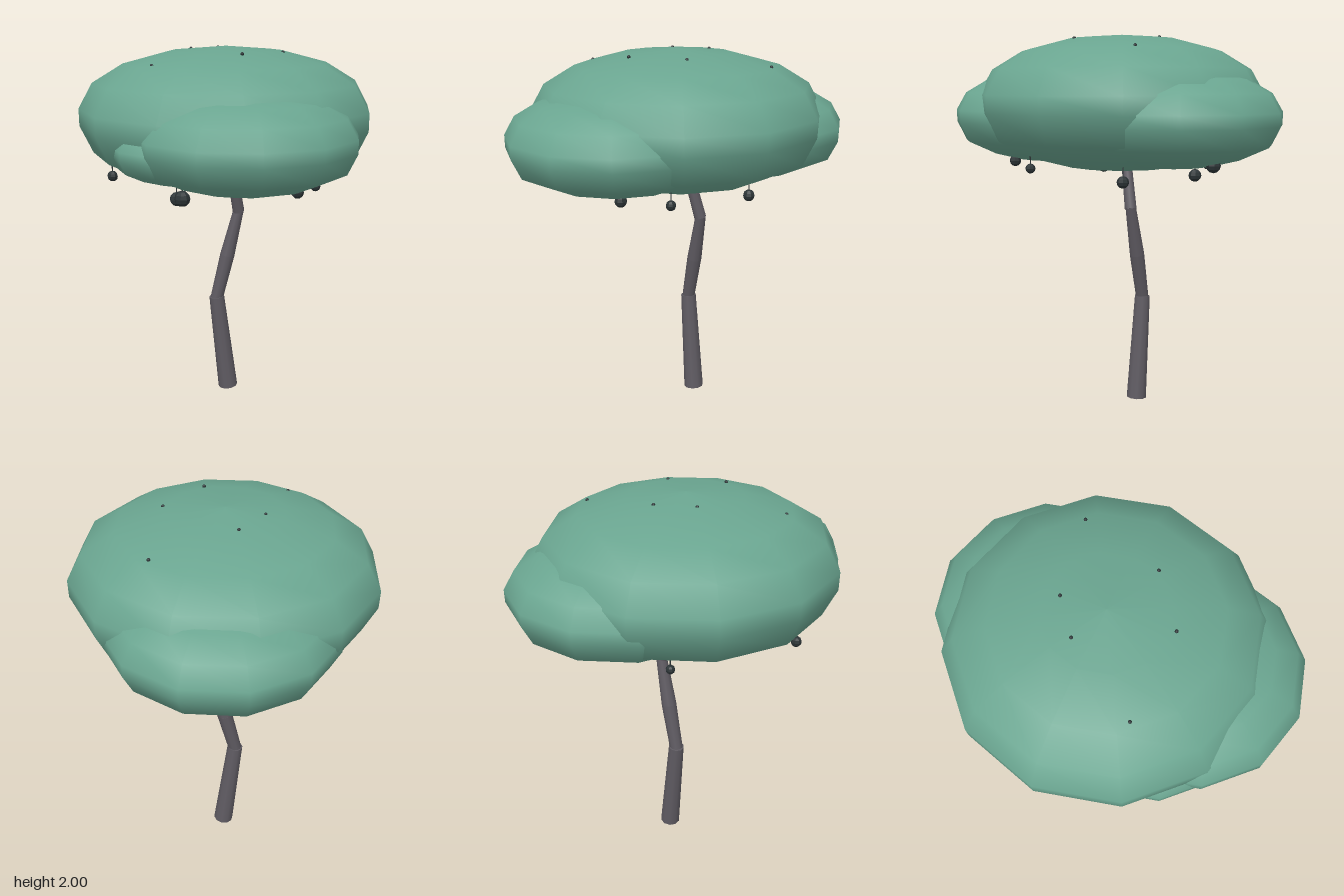
import * as THREE from 'three';

const leafMat = new THREE.MeshStandardMaterial({ color: 0x6aa590 });
const barkMat = new THREE.MeshStandardMaterial({ color: 0x5f5b62 });
const fruitMat = new THREE.MeshStandardMaterial({ color: 0x2c3436, flatShading: true });

// Cap-shaped canopy profile, bottom to top: [radius, height], with a dimple underneath
const CAP = [
  [0, 0.09], [0.09, 0.07], [0.17, 0], [0.3, 0.012], [0.5, 0.065], [0.7, 0.16], [0.765, 0.3],
  [0.765, 0.39], [0.69, 0.52], [0.53, 0.615], [0.29, 0.677], [0, 0.7],
].map(([r, y]) => new THREE.Vector2(r, y));

function add(group, name, geometry, material) {
  const mesh = new THREE.Mesh(geometry, material);
  mesh.name = name;
  group.add(mesh);
  return mesh;
}

// Tapered cylinder between two points
function limb(group, name, a, b, rA, rB, sides, material) {
  const from = new THREE.Vector3(...a), to = new THREE.Vector3(...b);
  const dir = to.clone().sub(from);
  const mesh = add(group, name, new THREE.CylinderGeometry(rB, rA, dir.length(), sides), material);
  mesh.position.copy(from).addScaledVector(dir, 0.5);
  mesh.quaternion.setFromUnitVectors(new THREE.Vector3(0, 1, 0), dir.normalize());
  return mesh;
}

export function createModel() {
  const tree = new THREE.Group();
  tree.name = 'tree';

  // Canopy: a large cap with three smaller ones poking out of its sides
  const canopy = new THREE.Group();
  canopy.name = 'canopy';
  tree.add(canopy);
  const caps = [
    ['mainCanopy', -0.052, 1.3, 0, 1, 1],
    ['leftCanopy', 0.31, 1.33, 0.15, 0.725, 0.71],
    ['rightCanopy', -0.3, 1.33, -0.235, 0.74, 0.71],
    ['frontCanopy', 0.12, 1.365, 0.38, 0.465, 0.47],
  ];
  for (const [name, x, y, z, wide, tall] of caps) {
    const cap = add(canopy, name, new THREE.LatheGeometry(CAP, 12), leafMat);
    cap.position.set(x, y, z);
    cap.scale.set(wide, tall, wide);
  }

  // Trunk: crooked, in tapering pieces
  const trunk = new THREE.Group();
  trunk.name = 'trunk';
  tree.add(trunk);
  limb(trunk, 'lowerTrunk', [-0.138, 0.005, -0.07], [-0.17, 0.58, -0.015], 0.056, 0.043, 10, barkMat);
  limb(trunk, 'middleTrunk', [-0.17, 0.57, -0.015], [-0.137, 0.83, -0.068], 0.036, 0.041, 10, barkMat);
  limb(trunk, 'middleTrunkTop', [-0.137, 0.83, -0.068], [-0.1, 1.1, -0.122], 0.041, 0.029, 10, barkMat);
  limb(trunk, 'upperTrunk', [-0.1, 1.09, -0.12], [-0.07, 1.42, -0.035], 0.033, 0.027, 10, barkMat);

  // Hanging fruit: [x, y, z, radius], each on a thin stem
  const fruits = new THREE.Group();
  fruits.name = 'hangingFruit';
  tree.add(fruits);
  const hanging = [
    [-0.53, 1.3, 0.09, 0.023], [-0.49, 1.357, -0.47, 0.036], [-0.425, 1.285, -0.255, 0.033],
    [-0.195, 1.37, 0.61, 0.027], [-0.055, 1.27, -0.42, 0.031], [0.05, 1.265, 0.385, 0.036],
    [0.24, 1.318, 0.475, 0.039], [0.42, 1.315, -0.215, 0.026], [0.525, 1.335, 0, 0.031],
  ];
  for (const [x, y, z, r] of hanging) {
    add(fruits, 'fruit', new THREE.SphereGeometry(r, 8, 6), fruitMat).position.set(x, y, z);
    limb(fruits, 'stem', [x, y, z], [x, y + 0.1, z], 0.003, 0.003, 5, fruitMat);
  }

  // Tiny buds on top of the canopy
  const buds = [
    [-0.11, 1.922, -0.495], [0.19, 1.972, -0.18], [-0.245, 1.983, -0.09],
    [-0.21, 1.983, 0.11], [0.235, 1.975, 0.115], [0.005, 1.922, 0.48],
  ];
  for (const p of buds) {
    add(tree, 'bud', new THREE.SphereGeometry(0.009, 8, 6), fruitMat).position.set(...p);
  }
  return tree;
}
